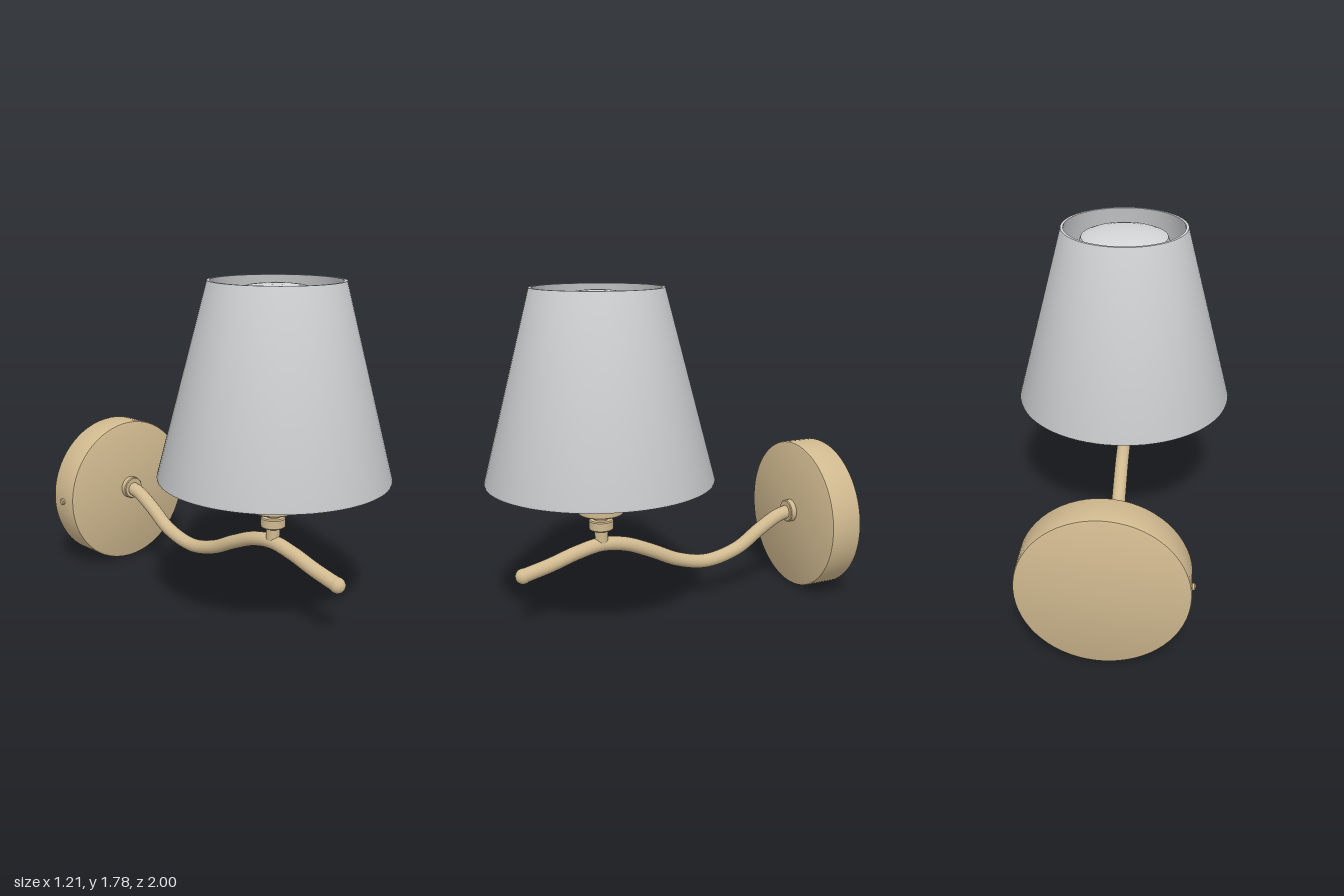
import * as THREE from 'three';
import { toCreasedNormals } from 'three/addons/utils/BufferGeometryUtils.js';

const LAMP_Z = 0.39;   // axis of shade, socket and bulb
const PLATE_Y = 0.435; // centre of the wall plate

export function createModel() {
  const group = new THREE.Group();
  const brass = new THREE.MeshStandardMaterial({ color: 0xd0b98f });
  brass.name = 'brass';
  const white = new THREE.MeshStandardMaterial({ color: 0xd2d3d5 });
  white.name = 'white';

  const add = (name, geometry, material, x = 0, y = 0, z = 0) => {
    const mesh = new THREE.Mesh(geometry, material);
    mesh.name = name;
    mesh.position.set(x, y, z);
    group.add(mesh);
    return mesh;
  };
  // Turned part from [radius, height] pairs, bottom to top
  const turned = (points, segments = 64) => toCreasedNormals(
    new THREE.LatheGeometry(points.map(([r, h]) => new THREE.Vector2(r, h)), segments), 0.6);

  // Wall plate with softened rims, axis turned onto z
  add('wallPlate', turned([
    [0, 0], [0.415, 0], [0.426, 0.005], [0.43, 0.016],
    [0.43, 0.174], [0.426, 0.185], [0.415, 0.19], [0, 0.19],
  ]), brass, 0, PLATE_Y, -1).rotation.x = Math.PI / 2;

  // Small fixing screw on the side of the plate
  add('plateScrew', turned([
    [0, 0], [0.018, 0], [0.018, 0.014], [0.012, 0.02], [0, 0.02],
  ], 20), brass, -0.425, PLATE_Y, -0.905).rotation.z = Math.PI / 2;

  // Collar where the arm meets the plate
  add('armCollar', turned([
    [0, 0], [0.065, 0], [0.065, 0.03], [0.06, 0.035], [0, 0.035],
  ], 40), brass, 0, 0.455, -0.81).rotation.x = Math.PI / 2;

  // Wavy arm and its rounded tip
  const path = new THREE.CatmullRomCurve3([
    [-0.81, 0.455], [-0.72, 0.435], [-0.6, 0.37], [-0.45, 0.275], [-0.25, 0.23],
    [-0.07, 0.266], [0.1, 0.345], [0.25, 0.405], [0.39, 0.424], [0.53, 0.398],
    [0.68, 0.352], [0.83, 0.315],
  ].map(([z, y]) => new THREE.Vector3(0, y, z)));
  add('arm', new THREE.TubeGeometry(path, 96, 0.039, 24), brass);
  add('armTip', new THREE.SphereGeometry(0.042, 24, 16), brass, 0, 0.315, 0.83);

  // Post with ring, then the lamp socket with its flared top
  add('post', turned([
    [0, 0.43], [0.036, 0.43], [0.036, 0.51], [0.06, 0.51], [0.065, 0.516],
    [0.065, 0.56], [0.06, 0.566], [0.036, 0.566], [0.036, 0.61],
  ], 40), brass, 0, 0, LAMP_Z);
  add('socket', turned([
    [0, 0.6], [0.115, 0.6], [0.12, 0.605], [0.12, 0.89], [0.135, 0.905],
    [0.18, 0.935], [0.18, 0.96], [0, 0.96],
  ]), brass, 0, 0, LAMP_Z);

  // Tapered shade with a real wall thickness
  add('shade', turned([
    [0.588, 0.785], [0.603, 0.785], [0.605, 0.795], [0.345, 1.79],
    [0.33, 1.79], [0.588, 0.785],
  ], 72), white, 0, 0, LAMP_Z);

  // Disc that closes the shade above its lower rim
  add('shadeDisc', turned([
    [0, 0.955], [0.548, 0.955], [0.545, 0.97], [0, 0.97],
  ], 72), white, 0, 0, LAMP_Z);

  // Inner diffuser with a shallow domed top
  add('diffuser', turned([
    [0.25, 0.965], [0.25, 1.7], [0.236, 1.735], [0.2, 1.75],
    [0.14, 1.765], [0.07, 1.774], [0, 1.777],
  ]), white, 0, 0, LAMP_Z);

  return group;
}
